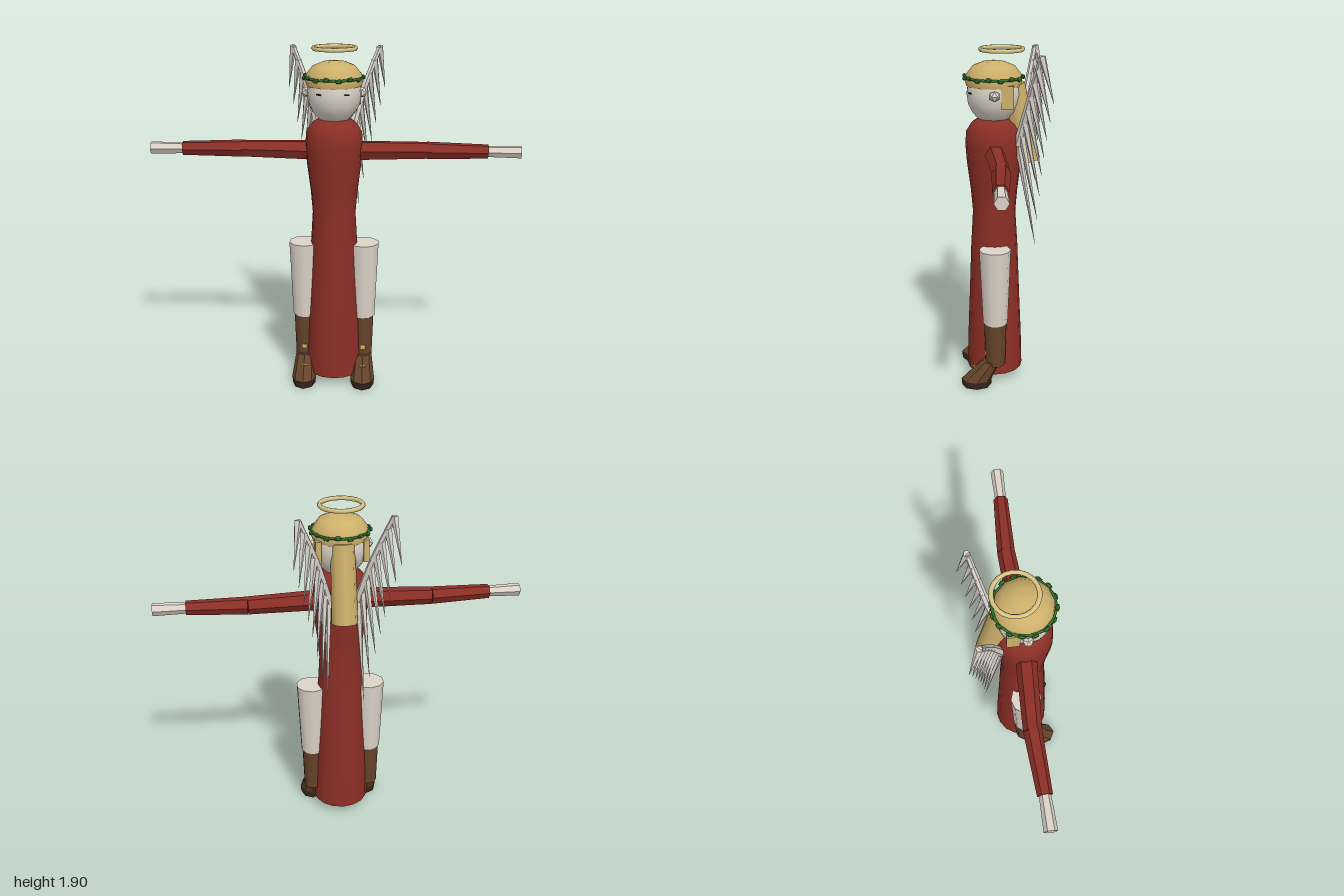
import * as THREE from 'three';

const mat = (name, color, side = THREE.FrontSide) => {
  const m = new THREE.MeshStandardMaterial({ color, side });
  m.name = name;
  return m;
};
const V = (x, y, z) => new THREE.Vector3(x, y, z);

// Faceted normals for the low-poly parts
function flat(geo) {
  const g = geo.index ? geo.toNonIndexed() : geo;
  g.computeVertexNormals();
  return g;
}

// Tapered prism running from point a to point b
function limb(a, b, ra, rb, sides) {
  const d = b.clone().sub(a);
  const g = new THREE.CylinderGeometry(rb, ra, d.length(), sides);
  g.applyQuaternion(new THREE.Quaternion().setFromUnitVectors(V(0, 1, 0), d.normalize()));
  const c = a.clone().add(b).multiplyScalar(0.5);
  return g.translate(c.x, c.y, c.z);
}

const lathe = (pts, sides) =>
  new THREE.LatheGeometry(pts.map(([r, y]) => new THREE.Vector2(r, y)), sides);

export function createModel() {
  const robe = mat('robe red', 0x8c2f26, THREE.DoubleSide);
  const skin = mat('pale skin', 0xdcd3c8);
  const feather = mat('feather white', 0xd8d1ca);
  const hair = mat('golden hair', 0xcdb06a);
  const halo = mat('halo gold', 0xdcc98a);
  const leaf = mat('leaf green', 0x35782f);
  const boot = mat('boot brown', 0x65432b);
  const sole = mat('sole dark brown', 0x35261a);
  const gold = mat('buckle gold', 0xd9b255);
  const dark = mat('eye dark', 0x2a2522);

  const model = new THREE.Group();
  model.name = 'wingedFigure';
  const add = (name, geo, material, x = 0, y = 0, z = 0, parent = model) => {
    const m = new THREE.Mesh(geo, material);
    m.name = name;
    m.position.set(x, y, z);
    parent.add(m);
    return m;
  };
  const cz = 0.057; // depth of the body axis

  // Long robe, open at the hem
  add('robe', lathe([[0.158, 0.055], [0.153, 0.25], [0.142, 0.5], [0.13, 0.8], [0.118, 1.0],
    [0.128, 1.12], [0.148, 1.28], [0.155, 1.38], [0.15, 1.45], [0.122, 1.495], [0.085, 1.52], [0, 1.522]], 16),
  robe, 0, 0, cz);

  // Head, hair cap and the hair hanging behind
  add('head', new THREE.SphereGeometry(1, 14, 10).scale(0.145, 0.165, 0.148), skin, 0, 1.655, cz);
  add('hairCap', lathe([[0, 1.695], [0.147, 1.695], [0.147, 1.695], [0.152, 1.72], [0.147, 1.755],
    [0.112, 1.8], [0.055, 1.822], [0, 1.825]], 12), hair, 0, 0, cz);
  add('backHair', limb(V(0, 1.285, -0.125), V(0, 1.7, -0.045), 0.07, 0.065, 8), hair);

  // Leafy wreath
  add('wreathBand', new THREE.TorusGeometry(0.152, 0.007, 5, 20).rotateX(Math.PI / 2), leaf, 0, 1.74, cz);
  const leafGeo = flat(new THREE.IcosahedronGeometry(1, 0).scale(0.021, 0.013, 0.011));
  const count = 16;
  for (let i = 0; i < count; i++) {
    const a = ((i + 0.5) / count) * Math.PI * 2;
    const m = add('wreathLeaf', leafGeo, leaf,
      Math.sin(a) * 0.159, 1.74 + (i % 2 ? 0.004 : -0.003), cz + Math.cos(a) * 0.159);
    m.rotation.y = a;
  }

  // Halo floating over the head
  add('halo', new THREE.TorusGeometry(0.112, 0.012, 6, 20).rotateX(Math.PI / 2), halo, 0, 1.885, 0.015);

  for (const s of [1, -1]) {
    const side = new THREE.Group();
    side.name = s > 0 ? 'leftSide' : 'rightSide';
    model.add(side);
    const put = (name, geo, material, x = 0, y = 0, z = 0) =>
      add(name, geo, material, x * s, y, z, side);

    // Face details
    put('ear', flat(new THREE.IcosahedronGeometry(0.03, 0)), skin, 0.146, 1.66, cz);
    put('sideHair', new THREE.BoxGeometry(0.03, 0.12, 0.065), hair, 0.125, 1.65, -0.012);
    const eye = put('eye', new THREE.BoxGeometry(0.024, 0.007, 0.008), dark, 0.073, 1.665, 0.184);
    eye.rotation.y = s * 0.5;

    // Arm: two hexagonal sleeve segments and a hand
    const shoulder = V(s * 0.13, 1.347, 0.055), elbow = V(s * 0.5, 1.347, 0.035);
    const wrist = V(s * 0.825, 1.347, 0.048), tip = V(s * 1.0, 1.347, 0.05);
    put('upperSleeve', flat(limb(shoulder, elbow, 0.055, 0.048, 6)), robe);
    put('lowerSleeve', flat(limb(elbow, wrist, 0.048, 0.039, 6)), robe);
    put('hand', flat(limb(wrist, tip, 0.03, 0.035, 6)), skin);

    // Leg and boot
    put('leg', new THREE.CylinderGeometry(0.087, 0.069, 0.435, 10), skin, 0.165, 0.607, cz);
    put('bootShaft', new THREE.CylinderGeometry(0.063, 0.055, 0.26, 10), boot, 0.165, 0.263, cz);
    const foot = new THREE.CylinderGeometry(1, 1, 0.115, 8);
    const p = foot.attributes.position;
    for (let i = 0; i < p.count; i++) {
      const top = p.getY(i) > 0;
      p.setX(i, p.getX(i) * (top ? 0.05 : 0.068));
      p.setZ(i, p.getZ(i) * (top ? 0.053 : 0.086) + (top ? 0.08 : 0.165));
    }
    put('foot', flat(foot), boot, 0.167, 0.0975, 0);
    put('sole', new THREE.CylinderGeometry(0.068, 0.065, 0.04, 8).scale(1, 1, 1.27), sole, 0.167, 0.02, 0.165);

    // Gold clasp on the shaft and crossed stitch on the foot
    put('clasp', new THREE.BoxGeometry(0.03, 0.02, 0.009), gold, 0.167, 0.205, 0.113);
    const stitch = new THREE.Group();
    stitch.name = 'bootStitch';
    stitch.position.set(s * 0.167, 0.114, 0.175);
    stitch.rotation.x = 0.8;
    side.add(stitch);
    add('stitchBar', new THREE.BoxGeometry(0.036, 0.008, 0.006), gold, 0, 0, 0, stitch);
    add('stitchBar', new THREE.BoxGeometry(0.008, 0.036, 0.006), gold, 0, 0, 0, stitch);

    // Wing: arched bone with feathers hanging from it
    const wing = new THREE.Group();
    wing.name = 'wing';
    side.add(wing);
    const bone = new THREE.CatmullRomCurve3([
      V(s * 0.08, 1.39, -0.07), V(s * 0.145, 1.63, -0.125), V(s * 0.238, 1.875, -0.178)]);
    const tips = new THREE.CatmullRomCurve3([
      V(s * 0.1, 0.83, -0.165), V(s * 0.165, 1.17, -0.185),
      V(s * 0.215, 1.41, -0.207), V(s * 0.27, 1.64, -0.24)]);
    for (let i = 0; i < 4; i++) {
      add('wingBone', flat(limb(bone.getPoint(i / 4), bone.getPoint((i + 1) / 4),
        0.026 - i * 0.003, 0.023 - i * 0.003, 6)), feather, 0, 0, 0, wing);
    }
    for (let i = 0; i < 8; i++) {
      const t = i / 7;
      add('feather', flat(limb(bone.getPoint(t), tips.getPoint(t), 0.02, 0.0008, 5)),
        feather, 0, 0, 0, wing);
    }
  }
  return model;
}
